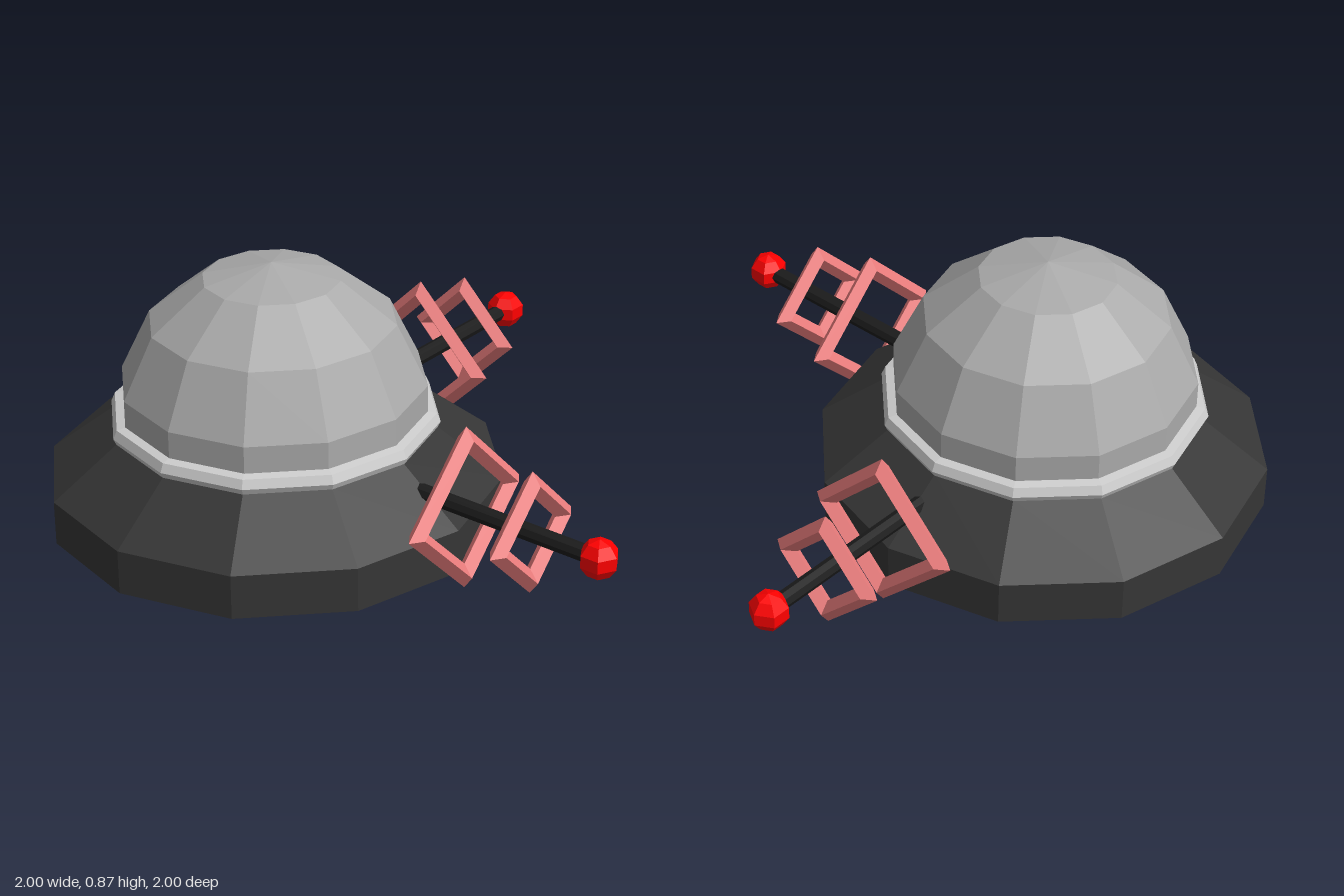
import * as THREE from 'three';

const material = (color) => new THREE.MeshStandardMaterial({ color, flatShading: true });
const darkHull = material(0x363636);
const domeGrey = material(0xaaaaaa);
domeGrey.side = THREE.DoubleSide;
const trimGrey = material(0xcccccc);
trimGrey.side = THREE.DoubleSide;
const rodBlack = material(0x1c1c1c);
const coral = material(0xf08080);
const red = material(0xff0000);

function addMesh(parent, name, geometry, mat) {
  const mesh = new THREE.Mesh(geometry, mat);
  mesh.name = name;
  parent.add(mesh);
  return mesh;
}

const lathe = (points, sides) =>
  new THREE.LatheGeometry(points.map(([r, y]) => new THREE.Vector2(r, y)), sides);

// Square ring of mitred square beams set on edge, its axis along x
function diamondRing(radius) {
  const w = 0.029, d = 0.041, c = radius - d;
  const section = [[c, -w], [c + d, 0], [c, w], [c - d, 0], [c, -w]];
  return lathe(section, 4).rotateZ(-Math.PI / 2);
}

// Antenna pointing along +x from the hull's axis
function antenna(name) {
  const arm = new THREE.Group();
  arm.name = name;
  const rod = addMesh(arm, 'rod', new THREE.CylinderGeometry(0.027, 0.027, 0.8, 8), rodBlack);
  rod.rotation.z = -Math.PI / 2;
  rod.position.x = 0.8;
  addMesh(arm, 'largeRing', diamondRing(0.272), coral).position.x = 0.741;
  addMesh(arm, 'smallRing', diamondRing(0.203), coral).position.x = 0.981;
  addMesh(arm, 'tipBall', new THREE.SphereGeometry(0.063, 6, 5), red).position.x = 1.22;
  arm.position.y = 0.275;
  return arm;
}

export function createModel() {
  const model = new THREE.Group();
  const saucer = new THREE.Group();
  saucer.name = 'saucer';
  saucer.position.set(-0.283, 0, 0.283);
  model.add(saucer);

  // Hull: flat-bottomed rim, then a slope up to the dome
  addMesh(saucer, 'hull', lathe(
    [[0, 0.046], [0.717, 0.046], [0.717, 0.189], [0.508, 0.35], [0, 0.35]], 12), darkHull);

  // Trim band around the foot of the dome
  addMesh(saucer, 'trimRing', lathe(
    [[0.47, 0.34], [0.51, 0.345], [0.52, 0.367], [0.508, 0.395], [0.47, 0.403]], 12), trimGrey);

  // Faceted dome, cut off inside the hull
  const dome = new THREE.SphereGeometry(0.493, 12, 4, 0, Math.PI * 2, 0, Math.PI * 4 / 7);
  addMesh(saucer, 'dome', dome, domeGrey).position.y = 0.378;

  // Two antennas at a right angle
  saucer.add(antenna('leftAntenna'));
  const back = antenna('backAntenna');
  back.rotation.y = Math.PI / 2;
  saucer.add(back);

  return model;
}
